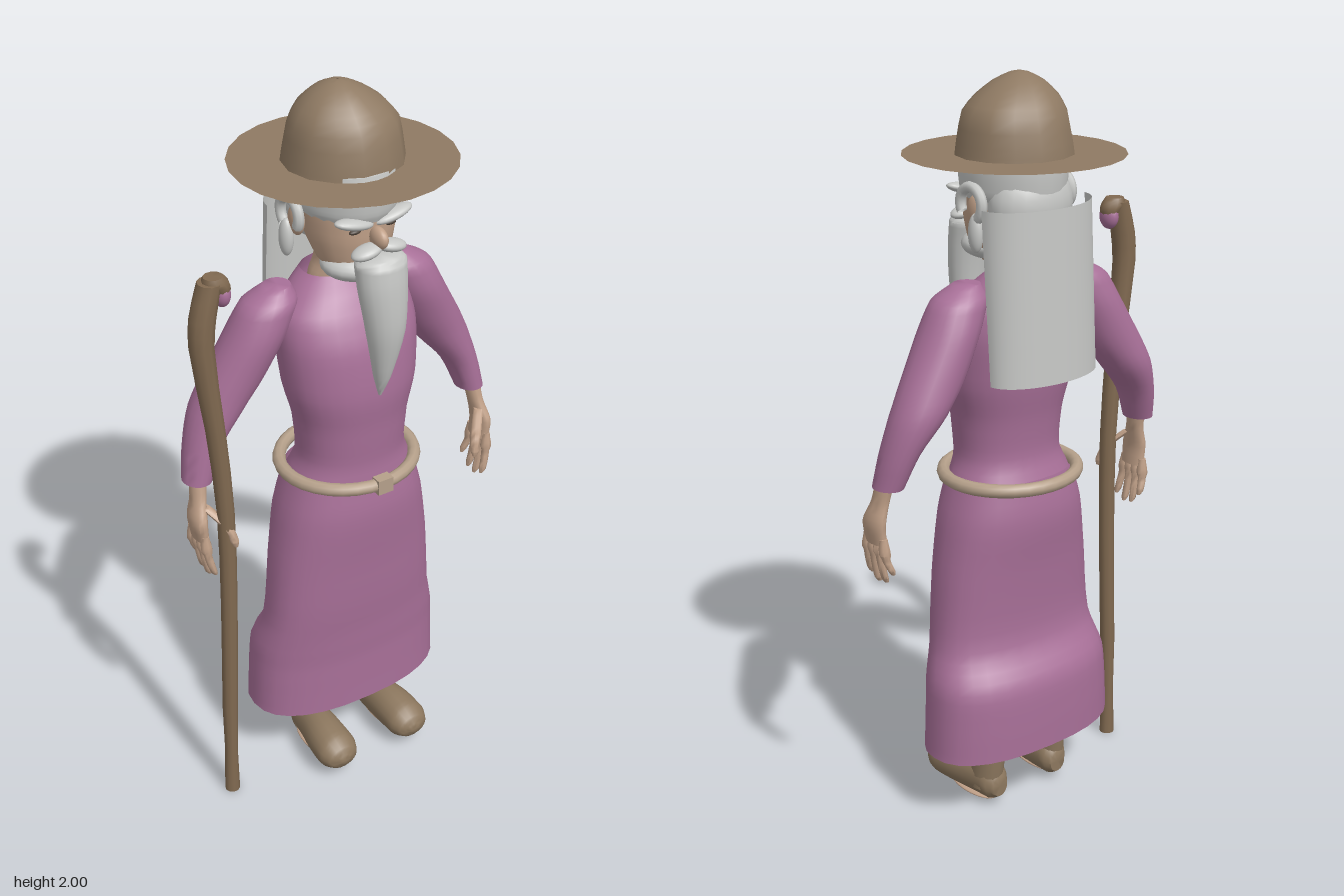
import * as THREE from 'three';
import { toCreasedNormals } from 'three/addons/utils/BufferGeometryUtils.js';

const mat = (name, color, side = THREE.FrontSide) => {
  const m = new THREE.MeshStandardMaterial({ color, side });
  m.name = name;
  return m;
};

// Smooth loft through sections [x, y, z, rx, rz], listed from bottom to top.
function loft(sections, { n = 20, k = 4, power = 1, caps = true } = {}) {
  const centres = new THREE.CatmullRomCurve3(sections.map(s => new THREE.Vector3(s[0], s[1], s[2])));
  const radii = new THREE.CatmullRomCurve3(sections.map(s => new THREE.Vector3(s[3], s[4], 0)));
  const rows = (sections.length - 1) * k, pos = [], index = [];
  const bend = v => Math.sign(v) * Math.abs(v) ** power;
  for (let i = 0; i <= rows; i++) {
    const c = centres.getPoint(i / rows), r = radii.getPoint(i / rows);
    for (let j = 0; j < n; j++) {
      const a = j / n * Math.PI * 2;
      pos.push(c.x + r.x * bend(Math.cos(a)), c.y, c.z + r.y * bend(Math.sin(a)));
    }
  }
  for (let i = 0; i < rows; i++) for (let j = 0; j < n; j++) {
    const a = i * n + j, b = i * n + (j + 1) % n;
    index.push(a, a + n, b, b, a + n, b + n);
  }
  if (caps) {
    const first = sections[0], last = sections[sections.length - 1], c = rows * n + n;
    pos.push(...first.slice(0, 3), ...last.slice(0, 3));
    for (let j = 0; j < n; j++) {
      const q = (j + 1) % n;
      index.push(c, j, q, c + 1, rows * n + q, rows * n + j);
    }
  }
  const g = new THREE.BufferGeometry();
  g.setAttribute('position', new THREE.Float32BufferAttribute(pos, 3));
  g.setIndex(index);
  return toCreasedNormals(g, 0.9);
}

export function createModel() {
  const model = new THREE.Group();
  model.name = 'wanderer';
  const robeMat = mat('robe purple', 0xa87098, THREE.DoubleSide);
  const skin = mat('skin', 0xc0a088);
  const hair = mat('hair grey', 0xc6c7c5, THREE.DoubleSide);
  const hatMat = mat('hat brown', 0x8f7a63, THREE.DoubleSide);
  const shoeMat = mat('shoe brown', 0x8c775e);
  const wood = mat('staff wood', 0x816a51);
  const rope = mat('belt tan', 0xb5a08a);
  const dark = mat('eye dark', 0x4a4038);

  const add = (name, geo, material, parent = model) => {
    const m = new THREE.Mesh(geo, material);
    m.name = name;
    parent.add(m);
    return m;
  };
  const ball = (name, material, p, r) => {
    const m = add(name, new THREE.SphereGeometry(1, 20, 14), material);
    m.position.set(...p);
    m.scale.set(...r);
    return m;
  };

  // Robe: open skirt and torso
  add('skirt', loft([
    [.005, .2, -.01, .29, .15], [.005, .3, -.01, .285, .15], [.005, .4, -.005, .278, .148],
    [0, .5, .025, .252, .125], [0, .7, .03, .232, .133], [0, .85, .028, .207, .145],
    [0, .96, .03, .175, .13]], { n: 28, power: .85, caps: false }), robeMat);
  add('torso', loft([
    [0, .94, .03, .178, .13], [0, 1.02, .04, .148, .115], [0, 1.12, .04, .155, .122],
    [0, 1.22, .035, .18, .135], [0, 1.34, .02, .19, .135], [0, 1.42, .005, .182, .115],
    [0, 1.47, -.01, .14, .095], [0, 1.51, -.025, .095, .07]], { n: 28, power: .9, caps: false }), robeMat);

  // Rope belt and its knot
  const belt = add('belt', new THREE.TorusGeometry(.182, .018, 10, 32), rope);
  belt.rotation.x = Math.PI / 2;
  belt.position.set(.005, .96, .018);
  belt.scale.y = .93;
  add('beltKnot', new THREE.BoxGeometry(.045, .042, .03), rope).position.set(.005, .96, .19);

  for (const s of [1, -1]) {
    const side = s > 0 ? 'left' : 'right';
    const flip = sections => sections.map(([x, ...rest]) => [x * s, ...rest]);

    // Sleeve
    add(side + 'Sleeve', loft(flip([
      [.425, 1.02, -.015, .038, .045], [.397, 1.11, -.03, .048, .058], [.345, 1.2, -.04, .073, .072],
      [.295, 1.28, -.035, .083, .076], [.24, 1.38, -.025, .08, .08], [.2, 1.46, -.02, .075, .068],
      [.175, 1.5, -.02, .035, .035]])), robeMat);

    // Hand with four fingers and a thumb
    const hand = new THREE.Group();
    hand.name = side + 'Hand';
    model.add(hand);
    add('palm', loft(flip([
      [.442, .865, .018, .017, .04], [.447, .92, .018, .02, .042],
      [.435, .98, .005, .02, .028], [.425, 1.06, -.012, .023, .026]]), { n: 14 }), skin, hand);
    for (let i = 0; i < 4; i++) {
      const z = .05 - i * .022, spread = .062 - i * .03;
      const tip = [.765, .75, .755, .785][i];
      add('finger', loft(flip([
        [.425, tip, spread, .005, .005], [.43, tip + .012, spread, .0095, .01],
        [.442, .83, (z + spread) / 2, .011, .011], [.445, .885, z, .011, .011]]), { n: 8 }), skin, hand);
    }
    add('thumb', loft(flip([
      [.378, .853, .09, .006, .006], [.38, .87, .087, .012, .012],
      [.395, .915, .07, .014, .014], [.43, .96, .03, .013, .013]]), { n: 8 }), skin, hand);

    // Leg, boot shaft and shoe
    add(side + 'Leg', loft(flip([[.115, .2, -.01, .04, .045], [.11, .5, 0, .055, .06]]), { n: 14 }), skin);
    add(side + 'BootShaft', loft(flip([
      [.112, .05, -.005, .042, .048], [.108, .13, -.006, .043, .055],
      [.1, .2, -.008, .046, .058], [.1, .26, -.008, .05, .06]]), { n: 16 }), shoeMat);
    const shoe = add(side + 'Shoe', loft(flip([
      [.105, -.058, -.06, .025, .03], [.107, -.035, -.068, .043, .052], [.11, .03, -.074, .05, .06],
      [.116, .1, -.075, .058, .06], [.119, .16, -.072, .06, .053], [.119, .195, -.07, .045, .035],
      [.119, .21, -.07, .012, .01]]), { n: 18 }), shoeMat);
    shoe.rotation.x = Math.PI / 2;
    ball(side + 'Sole', skin, [s * .115, .022, .045], [.038, .008, .09]);

    // Ear, brow, eye and moustache half
    ball(side + 'Ear', skin, [s * .128, 1.67, 0], [.016, .04, .03]);
    const rim = add(side + 'EarRim', new THREE.TorusGeometry(.042, .014, 8, 20, 4.6), hair);
    rim.rotation.set(0, Math.PI / 2, 0);
    rim.rotation.z = -.9;
    rim.position.set(s * .145, 1.69, -.003);
    ball(side + 'Sidelock', hair, [s * .145, 1.62, -.02], [.018, .05, .022]);
    const brow = ball(side + 'Brow', hair, [s * .055, 1.695, .14], [.055, .014, .025]);
    brow.rotation.z = s * .22;
    ball(side + 'Eye', dark, [s * .05, 1.672, .137], [.017, .006, .008]);
    const moustache = ball(side + 'Moustache', hair, [s * .035, 1.628, .165], [.042, .016, .028]);
    moustache.rotation.z = -s * .2;
  }

  // Neck, head and nose
  add('neck', loft([[0, 1.44, -.02, .09, .06], [0, 1.5, -.015, .08, .062],
    [0, 1.55, -.005, .065, .065], [0, 1.64, .01, .07, .07]]), skin);
  add('head', loft([[0, 1.52, .06, .05, .05], [0, 1.57, .05, .09, .085], [0, 1.64, .03, .112, .118],
    [0, 1.71, .02, .12, .128], [0, 1.79, .01, .12, .13]]), skin);
  ball('nose', skin, [0, 1.655, .163], [.018, .028, .034]);

  // Hair on the head, jaw beard and long beard
  add('hairCap', loft([[0, 1.69, .012, .118, .138], [0, 1.71, .012, .126, .146],
    [0, 1.76, .012, .13, .15], [0, 1.81, .008, .128, .145]], { n: 24 }), hair);
  ball('backOfHair', hair, [0, 1.68, -.055], [.12, .11, .085]);
  ball('jawBeard', hair, [0, 1.56, .075], [.098, .042, .085]);
  add('beard', loft([[.005, 1.22, .17, .004, .004], [.005, 1.28, .178, .022, .024],
    [.005, 1.42, .19, .052, .045], [0, 1.54, .182, .066, .053], [0, 1.6, .172, .068, .055],
    [0, 1.615, .17, .05, .045]], { n: 18 }), hair);

  // Long hair: a curved sheet hanging down the back
  const sheet = new THREE.CylinderGeometry(1, 1, .44, 24, 4, true, Math.PI / 2, Math.PI);
  const p = sheet.attributes.position;
  for (let i = 0; i < p.count; i++) {
    const down = .5 - p.getY(i) / .44;
    p.setXYZ(i, p.getX(i) * .167, p.getY(i) + 1.468, p.getZ(i) * (.105 - .015 * down) - .07 - .032 * down);
  }
  sheet.computeVertexNormals();
  add('longHair', sheet, hair);

  // Hat: flat brim and rounded crown
  const brim = add('hatBrim', new THREE.RingGeometry(.145, .282, 24, 1), hatMat);
  brim.rotation.x = -Math.PI / 2;
  brim.position.set(.005, 1.8, 0);
  add('hatCrown', loft([[.005, 1.79, 0, .154, .152], [.005, 1.83, 0, .148, .147], [.005, 1.9, 0, .136, .13],
    [-.002, 1.94, 0, .108, .103], [-.008, 1.975, 0, .065, .065], [-.01, 1.995, 0, .025, .025],
    [-.01, 2, 0, .002, .002]], { n: 14, k: 2, caps: false }), hatMat);

  // Staff with a hooked head and a stone
  add('staff', loft([[-.405, 0, .062, .021, .021], [-.402, .3, .064, .021, .021], [-.392, .65, .066, .022, .022],
    [-.39, .95, .065, .023, .023], [-.408, 1.2, .064, .025, .026], [-.434, 1.44, .063, .031, .032],
    [-.428, 1.52, .063, .033, .033], [-.405, 1.61, .063, .03, .032]], { n: 10, k: 2 }), wood);
  add('staffHook', loft([[-.378, 1.555, .063, .014, .018], [-.377, 1.585, .063, .024, .028],
    [-.39, 1.605, .063, .034, .03], [-.395, 1.622, .063, .025, .024]], { n: 10, k: 2 }), wood);
  ball('staffStone', robeMat, [-.376, 1.572, .063], [.022, .034, .03]);

  return model;
}
